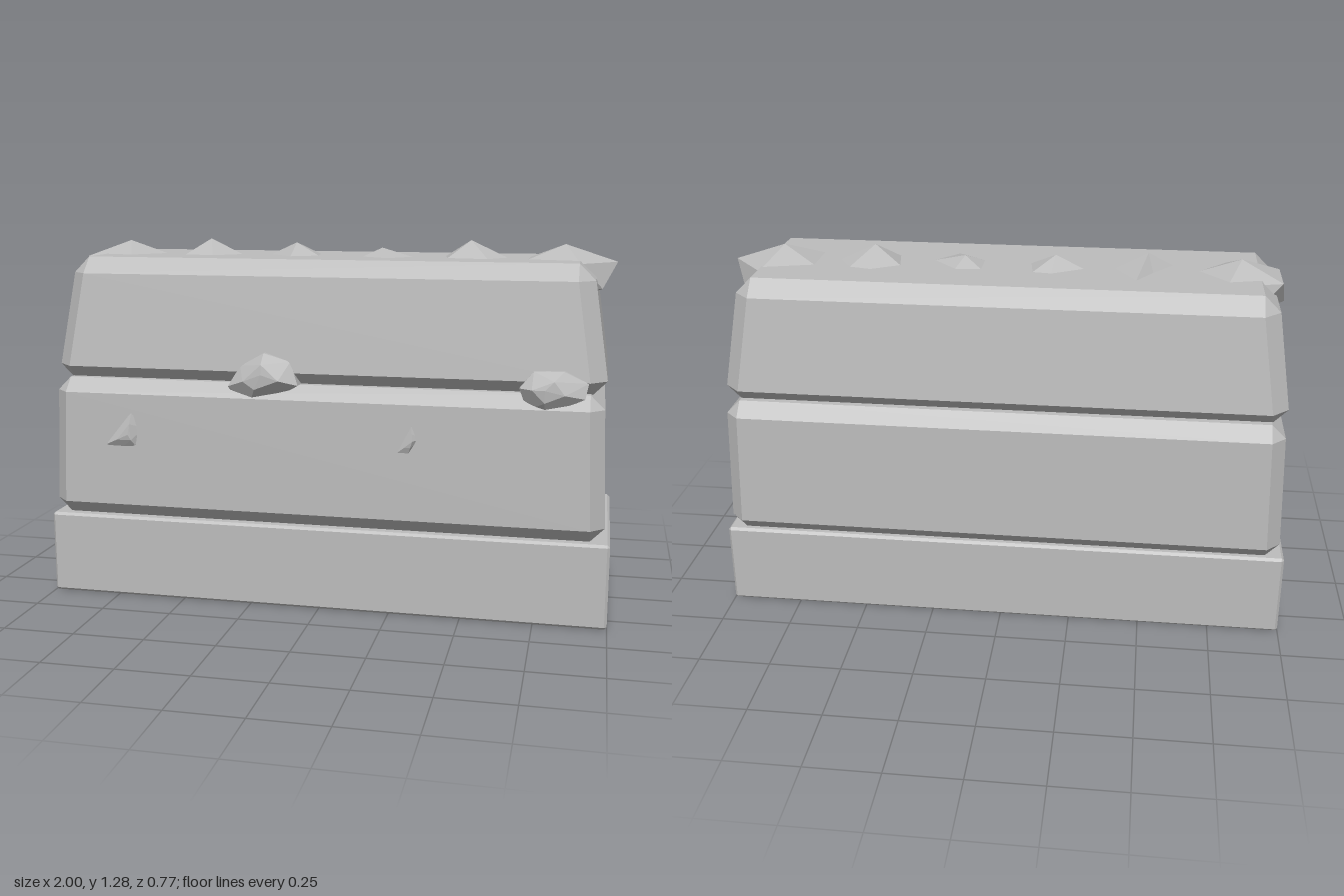
import * as THREE from 'three';
import { ConvexGeometry } from 'three/addons/geometries/ConvexGeometry.js';

const stone = new THREE.MeshStandardMaterial({ color: 0xbcbcbc });
stone.name = 'grey stone';

const V = (x, y, z) => new THREE.Vector3(x, y, z);

// Hull of a few points, faceted
function hull(name, points) {
  const mesh = new THREE.Mesh(new ConvexGeometry(points), stone);
  mesh.name = name;
  return mesh;
}

// Chamfered block that tapers from its lower to its upper half-size
function block(name, { y0, y1, low, high, bevel, z }) {
  const pts = [];
  for (const [[hx, hz], y, dy] of [[low, y0, bevel], [high, y1, -bevel]]) {
    for (const sx of [-1, 1]) for (const sz of [-1, 1]) {
      pts.push(V(sx * (hx - bevel), y, z + sz * (hz - bevel)));
      pts.push(V(sx * hx, y + dy, z + sz * (hz - bevel)));
      pts.push(V(sx * (hx - bevel), y + dy, z + sz * hz));
    }
  }
  return hull(name, pts);
}

// Shallow pointed chip on the top: a fan around an apex, outline in x, z
function chip(name, apex, outline) {
  const pos = [];
  outline.forEach(([x, z], i) => {
    const [nx, nz] = outline[(i + 1) % outline.length];
    pos.push(...apex, nx, 1.222, nz, x, 1.222, z);
  });
  const geo = new THREE.BufferGeometry();
  geo.setAttribute('position', new THREE.Float32BufferAttribute(pos, 3));
  geo.computeVertexNormals();
  const mesh = new THREE.Mesh(geo, stone);
  mesh.name = name;
  return mesh;
}

// Twelve-cornered rock at a top end: apex, two five-sided rings, nadir
function endRock(name, x, apexY, r, turn) {
  const pts = [V(x, apexY, -0.01), V(x, 1.07, -0.01)];
  for (let i = 0; i < 5; i++) {
    const a = turn + i * Math.PI * 0.4, b = a + Math.PI * 0.2;
    pts.push(V(x + r * Math.cos(a), 1.216, -0.01 + r * 0.85 * Math.sin(a)));
    pts.push(V(x + r * 0.9 * Math.cos(b), 1.128, -0.01 + r * 0.77 * Math.sin(b)));
  }
  return hull(name, pts);
}

// Rock pressed into the front: outline in x, y, with a raised face
function frontRock(name, peak, outline, rim) {
  const pts = [V(...peak)];
  outline.forEach(([x, y], i) => {
    pts.push(V(x, y, rim - (i % 2) * 0.02), V(x, y, 0.25));
    // raised corners between the rim and the peak
    if (i % 2 === 0) pts.push(V((x + peak[0]) / 2, (y + peak[1]) / 2, peak[2] - 0.004));
  });
  return hull(name, pts);
}

export function createModel() {
  const wall = new THREE.Group();
  wall.name = 'stoneWall';

  // Three stacked courses
  wall.add(
    block('baseStone', { y0: 0, y1: 0.297, low: [1, 0.35], high: [1, 0.35], bevel: 0.009, z: -0.005 }),
    block('middleStone', { y0: 0.302, y1: 0.8, low: [0.98, 0.378], high: [0.965, 0.374], bevel: 0.048, z: -0.008 }),
    block('upperStone', { y0: 0.785, y1: 1.225, low: [0.97, 0.342], high: [0.92, 0.303], bevel: 0.056, z: -0.009 }),
  );

  // Row of points along the top
  wall.add(
    endRock('rightEndRock', -0.8, 1.272, 0.17, Math.PI * 0.8),
    endRock('leftEndRock', 0.81, 1.275, 0.18, 0),
    chip('topChip', [-0.48, 1.282, 0], [[-0.57, 0.05], [-0.5, -0.05], [-0.44, -0.15], [-0.36, -0.01], [-0.45, 0.085]]),
    chip('topChip', [-0.16, 1.27, -0.02], [[-0.265, -0.03], [-0.15, -0.1], [-0.08, -0.09], [-0.065, 0.02], [-0.16, 0.085]]),
    chip('topChip', [0.16, 1.255, -0.01], [[0.09, -0.08], [0.19, -0.085], [0.285, 0.02], [0.2, 0.12], [0.09, 0.04]]),
    chip('topChip', [0.48, 1.285, -0.01], [[0.38, -0.06], [0.48, -0.12], [0.56, -0.1], [0.615, -0.01], [0.55, 0.09], [0.4, 0.06]]),
  );

  // Rocks set in the front
  wall.add(
    frontRock('seamRock', [-0.19, 0.84, 0.388],
      [[-0.32, 0.79], [-0.28, 0.86], [-0.19, 0.91], [-0.1, 0.88], [-0.07, 0.8], [-0.13, 0.765], [-0.24, 0.735], [-0.29, 0.738]], 0.345),
    frontRock('seamRock', [0.77, 0.82, 0.386],
      [[0.685, 0.82], [0.73, 0.875], [0.83, 0.88], [0.91, 0.84], [0.9, 0.79], [0.82, 0.75], [0.77, 0.735], [0.71, 0.745]], 0.35),
    frontRock('faceRock', [-0.68, 0.61, 0.387],
      [[-0.765, 0.57], [-0.73, 0.64], [-0.67, 0.685], [-0.63, 0.63], [-0.66, 0.57], [-0.74, 0.535]], 0.37),
    frontRock('faceRock', [0.335, 0.63, 0.38],
      [[0.28, 0.585], [0.3, 0.65], [0.33, 0.68], [0.365, 0.635], [0.32, 0.585]], 0.367),
  );
  return wall;
}
